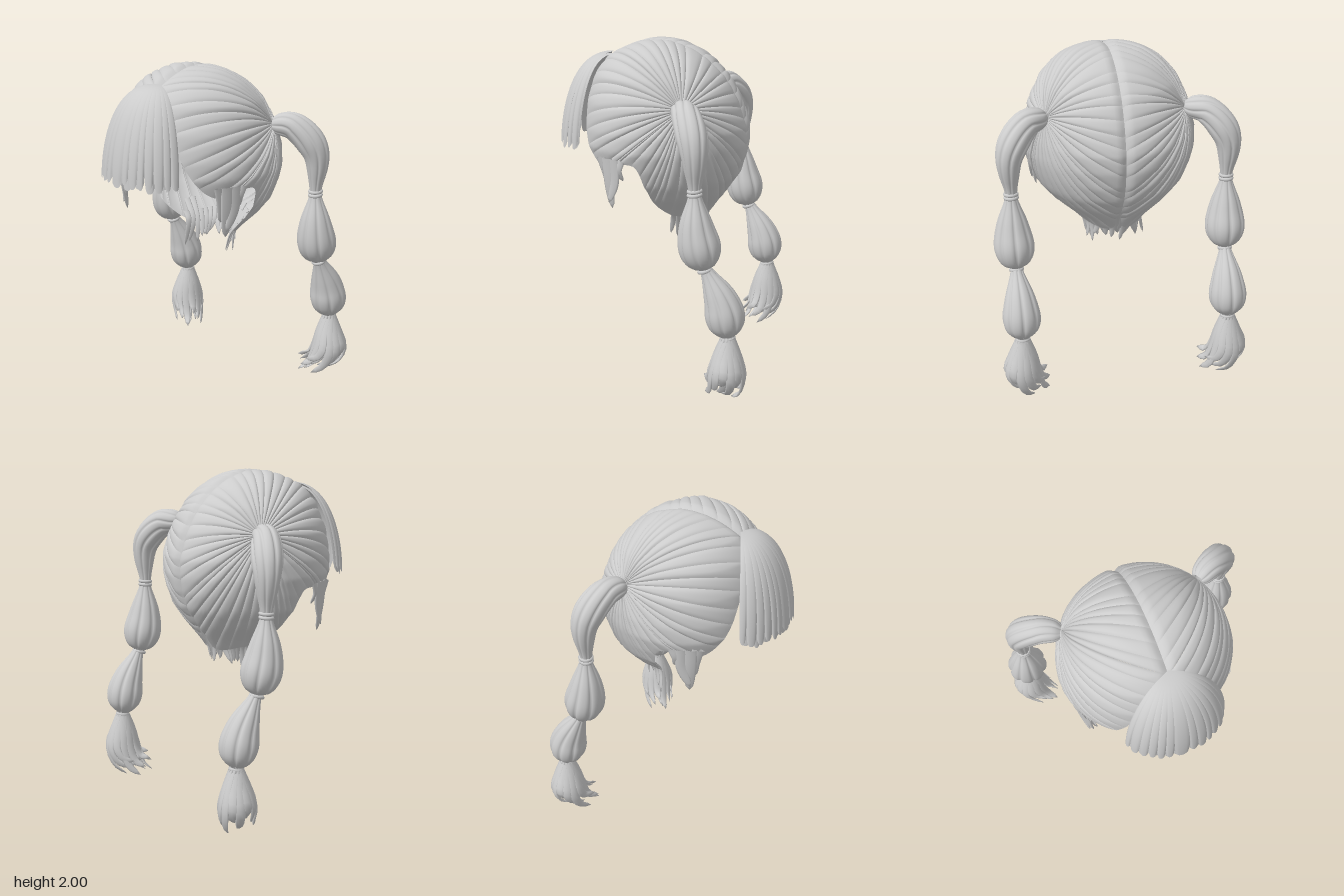
import * as THREE from 'three';
import { mergeVertices } from 'three/addons/utils/BufferGeometryUtils.js';

const V = (x, y, z) => new THREE.Vector3(x, y, z);
const material = new THREE.MeshStandardMaterial({ color: 0xcccccc, side: THREE.DoubleSide });
const hash = (i) => { const s = Math.sin(i * 12.9898 + 4.1) * 43758.5453; return s - Math.floor(s); };

// Piecewise linear lookup: rows of [key, value...] with rising keys
function lookup(rows, key, col = 1) {
  let i = 1;
  while (i < rows.length - 1 && rows[i][0] < key) i++;
  const a = rows[i - 1], b = rows[i];
  const k = THREE.MathUtils.clamp((key - a[0]) / (b[0] - a[0]), 0, 1);
  return a[col] + (b[col] - a[col]) * k;
}

// Surface from a rule fn(u, v) with shared vertices and smooth normals
function surface(name, fn, nu, nv) {
  const pos = [], index = [];
  for (let j = 0; j <= nv; j++)
    for (let i = 0; i <= nu; i++) pos.push(...fn(i / nu, j / nv).toArray());
  for (let j = 0; j < nv; j++)
    for (let i = 0; i < nu; i++) {
      const a = j * (nu + 1) + i, c = a + nu + 1;
      index.push(a, a + 1, c, a + 1, c + 1, c);
    }
  let geo = new THREE.BufferGeometry();
  geo.setAttribute('position', new THREE.Float32BufferAttribute(pos, 3));
  geo.setIndex(index);
  geo = mergeVertices(geo, 1e-5);
  geo.computeVertexNormals();
  const mesh = new THREE.Mesh(geo, material);
  mesh.name = name;
  return mesh;
}

// Elliptical section swept along a path; size(t) gives [half width, half thickness]
function sweep(name, points, size, facing, nu = 8, nv = 10, grooves = 0) {
  const curve = new THREE.CatmullRomCurve3(points);
  return surface(name, (u, v) => {
    const c = curve.getPoint(v), t = curve.getTangent(v);
    const n = facing.clone().addScaledVector(t, -facing.dot(t)).normalize();
    const side = t.clone().cross(n);
    const a = -u * Math.PI * 2, [w, h] = size(v);
    const r = grooves ? 1 - 0.12 * Math.pow(1 - Math.abs(Math.sin(a * grooves / 2)), 2) : 1;
    return c.addScaledVector(side, Math.cos(a) * w * r).addScaledVector(n, Math.sin(a) * h * r);
  }, nu, nv);
}

// Flat tapering lock of hair
const lock = (name, points, width, thick, facing) =>
  sweep(name, points, (t) => [width * Math.sqrt(1 - t ** 3), thick * Math.sqrt(1 - t ** 3)], facing);

// Head sections: [depth below crown (square root), half width, front z, back z]
const HEAD = [
  [2, 0, .02, .02], [1.97, .2, .2, -.13], [1.9, .32, .34, -.26], [1.8, .41, .42, -.37],
  [1.65, .48, .47, -.46], [1.5, .515, .49, -.508], [1.4, .52, .49, -.51], [1.3, .495, .46, -.495],
  [1.2, .455, .4, -.462], [1.1, .37, .3, -.4], [1, .26, .2, -.325], [.93, .2, .12, -.28],
].map(([y, ...r]) => [Math.sqrt(2 - y), ...r]);
const AXIS_Z = 0.02, CENTRE = V(0, 1.45, 0);

function headPoint(a, y) {
  const s = Math.sqrt(Math.max(0, 2 - y));
  const end = lookup(HEAD, s, Math.cos(a) < 0 ? 2 : 3);
  return V(lookup(HEAD, s) * Math.sin(a), y, AXIS_Z + (end - AXIS_Z) * Math.abs(Math.cos(a)));
}

// Distance from the head centre to its surface along a direction
function headRadius(dir) {
  let lo = 0.1, hi = 1;
  for (let i = 0; i < 18; i++) {
    const r = (lo + hi) / 2, p = dir.clone().multiplyScalar(r).add(CENTRE);
    const s = Math.sqrt(Math.max(0, 2 - p.y)), dz = p.z - AXIS_Z;
    const ex = p.x / lookup(HEAD, s), ez = dz / (lookup(HEAD, s, dz > 0 ? 2 : 3) - AXIS_Z);
    if (p.y < 2 && ex * ex + ez * ez < 1) lo = r; else hi = r;
  }
  return lo;
}

// Lower edge of the hair by angle from the centre back
const EDGE = [[0, .97], [50, .95], [70, .97], [82, 1.04], [88, 1.2], [94, 1.33], [108, 1.33],
  [122, 1.29], [132, 1.32], [143, 1.43], [150, 1.55], [165, 1.78], [180, 1.89]];

// Each half of the head: locks drawn from the parting and hairline to the pigtail root
function buildScalpHalf(s) {
  const group = new THREE.Group();
  group.name = s > 0 ? 'leftScalpHair' : 'rightScalpHair';
  const rim = [];
  for (let i = 0; i < 6; i++) rim.push(headPoint(Math.PI, 1.89 + 0.11 * (1 - (1 - i / 6) ** 2)));
  for (let i = 0; i < 14; i++) rim.push(headPoint(0, 2 - 1.03 * (i / 14) ** 2));
  for (const [deg, y] of EDGE) rim.push(headPoint(deg * Math.PI / 180, y));
  const outline = new THREE.CatmullRomCurve3(rim);
  const root = V(.42, 1.66, -.21).sub(CENTRE).normalize();
  const count = 42;
  const bound = (i) => (i + (i > 0 && i < count ? 0.5 * (hash(i) - 0.5) : 0)) / count;
  for (let i = 0; i < count; i++) {
    const lo = bound(i), hi = bound(i + 1), lift = 0.016 * hash(i + 80);
    group.add(surface('scalpLock', (u, v) => {
      const k = s * (1 - 2 * u);
      const w = THREE.MathUtils.clamp((lo + hi) / 2 + k * 1.12 * (hi - lo) / 2, 0, 1);
      const start = outline.getPointAt(w).sub(CENTRE).normalize();
      const dir = start.lerp(root, v).normalize();
      const p = dir.clone().multiplyScalar(headRadius(dir));
      const body = Math.sin(Math.PI * v) ** 0.5;
      const parting = Math.exp(-((p.x / 0.022) ** 2));
      p.multiplyScalar(1 - body * (0.022 * Math.abs(k) ** 3 - lift) - 0.035 * parting).add(CENTRE);
      p.x = Math.max(0, p.x) * s;
      return p;
    }, 8, 24));
  }
  return group;
}

// Fringe: a fan of locks of uneven width falling from the front of the parting
function buildFringe() {
  const group = new THREE.Group();
  group.name = 'fringe';
  const layer = (name, scale, count, seed) => {
    const bound = (i) => (i + (i > 0 && i < count ? 0.6 * (hash(i + seed) - 0.5) : 0)) / count;
    for (let i = 0; i < count; i++) {
      const lo = bound(i), hi = bound(i + 1);
      const length = 1 - 0.035 * hash(i + seed + 9), lift = 0.02 * hash(i + seed + 30);
      group.add(surface(name, (u, v) => {
        const k = 1 - 2 * u;
        const across = (lo + hi) / 2 + k * (hi - lo) / 2 * (1.06 - 0.22 * v ** 8);
        const t = v * length * (1 - 0.04 * Math.abs(k) ** 3) * Math.PI / 2;
        const th = (across * 2 - 1) * 1.4;
        const r = Math.sin(t) ** 0.78 * (scale + v * (lift + 0.03 * Math.sqrt(1 - k * k)));
        return V(0.31 * Math.sin(th) * r, 1.915 - (1 - scale) * 0.3 - 0.56 * (1 - Math.cos(t)),
          0.33 + (0.095 + 0.22 * Math.cos(th)) * r);
      }, 8, 22));
    }
  };
  layer('fringeOuterLock', 0.99, 14, 0);
  layer('fringeInnerLock', 0.94, 10, 60);
  return group;
}

// Short wisps along the nape and in front of the ears
function buildWisps() {
  const group = new THREE.Group();
  group.name = 'looseWisps';
  for (let i = 0; i < 22; i++) {
    const a = (i / 21 * 2 - 1) * 1.15, h = hash(i + 7);
    const out = V(Math.sin(a), 0, -Math.cos(a));
    const top = headPoint(a, 1 + 0.08 * hash(i + 50)).addScaledVector(out, -0.025);
    const mid = headPoint(a, 0.95).addScaledVector(out, -0.015);
    const tip = mid.clone().add(V((hash(i) - 0.5) * 0.08, -0.04 - 0.07 * h - 0.05 * Math.abs(a), 0.02));
    tip.addScaledVector(out, 0.03 * (h - 0.6));
    group.add(lock('napeWisp', [top, mid, tip], 0.02, 0.006, out));
  }
  // [z at top, middle and tip, tip height, half width]
  const sideLocks = [[.23, .22, .21, 1.05, .04], [.18, .18, .225, 1.09, .035],
    [.27, .24, .23, 1.14, .035], [.13, .15, .13, 1.23, .025]];
  for (const s of [-1, 1])
    for (const [z0, z1, z2, yEnd, w] of sideLocks) {
      const x = 0.505 * Math.sqrt(1 - (z0 / 0.53) ** 2);
      group.add(lock('sideLock', [V(s * x, 1.36, z0), V(s * (x - .01), (1.36 + yEnd) / 2, z1),
        V(s * (x - .03), yEnd, z2)], w, 0.01, V(s, 0, 0.4)));
    }
  return group;
}

function buildPigtail(s) {
  const group = new THREE.Group();
  group.name = s > 0 ? 'leftPigtail' : 'rightPigtail';
  const P = (x, y, z) => V(s * x, y, z);
  const front = V(0, 0, 1);
  // gathered puffs, each [path, radius by length]
  const puffs = [
    [[P(.42, 1.66, -.2), P(.535, 1.65, -.265), P(.64, 1.51, -.335), P(.645, 1.25, -.345)],
      [[0, .04], [.1, .066], [.33, .083], [.58, .09], [.8, .066], [.93, .042], [1, .034]]],
    [[P(.645, 1.25, -.345), P(.645, 1.02, -.36), P(.64, .81, -.405)],
      [[0, .034], [.1, .046], [.35, .09], [.62, .119], [.8, .114], [.94, .08], [1, .034]]],
    [[P(.64, .81, -.41), P(.635, .6, -.51), P(.635, .41, -.545)],
      [[0, .034], [.1, .046], [.35, .088], [.62, .114], [.82, .104], [.94, .07], [1, .036]]],
  ];
  for (const [path, radii] of puffs) {
    const knots = new THREE.SplineCurve(radii.map(([t, r]) => new THREE.Vector2(t, r)));
    const profile = knots.getPoints(40).map((p) => [p.x, p.y]);
    group.add(sweep('pigtailPuff', path, (t) => { const r = lookup(profile, t); return [r, r]; },
      front, 72, 24, 8));
  }
  // paired hair ties between the puffs
  for (const [x, y, z, tilt] of [[.645, 1.25, -.345, .1], [.64, .81, -.407, .3], [.635, .41, -.545, .15]])
    for (const dy of [-0.011, 0.011]) {
      const tie = new THREE.Mesh(new THREE.TorusGeometry(0.034, 0.011, 8, 24), material);
      tie.name = 'hairTie';
      tie.position.set(s * x, y + dy, z);
      tie.rotation.x = Math.PI / 2 + tilt;
      group.add(tie);
    }
  // tassel of locks that swell, then curl inwards and forwards
  for (let i = 0; i < 22; i++) {
    const ring = i < 14 ? 1 : 0.5, a = i / (i < 14 ? 14 : 8) * Math.PI * 2, h = (i * 5 % 14) / 13;
    const out = V(s * Math.cos(a), 0, Math.sin(a));
    const at = (r, dx, dy, dz) => P(.635 + dx, .41 + dy, -.545 + dz).addScaledVector(out, r * ring);
    group.add(lock('tasselLock', [at(.022, 0, .01, 0), at(.075, .005, -.12, 0), at(.104, .01, -.21 - .03 * h, 0),
      at(.098, -.025, -.27 - .08 * h, .02), at(.085, -.08, -.275 - .135 * h, .07)], 0.03, 0.011, out));
  }
  return group;
}

export function createModel() {
  const model = new THREE.Group();
  model.name = 'hair';
  model.add(buildFringe(), buildWisps());
  for (const s of [1, -1]) model.add(buildScalpHalf(s), buildPigtail(s));
  return model;
}
